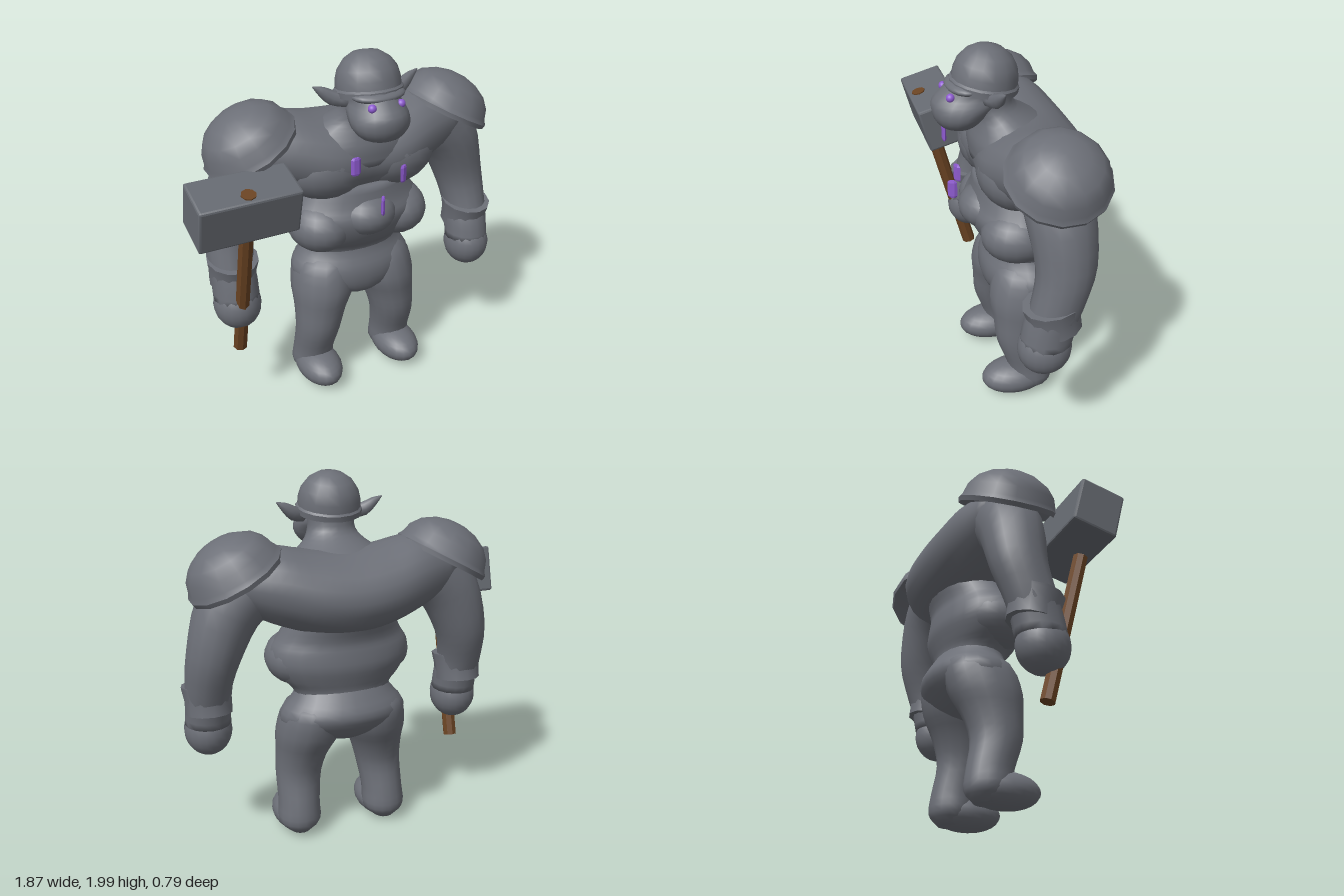
import * as THREE from 'three';
import { toCreasedNormals } from 'three/addons/utils/BufferGeometryUtils.js';
import { RoundedBoxGeometry } from 'three/addons/geometries/RoundedBoxGeometry.js';

const flat = (name, color) => {
  const m = new THREE.MeshStandardMaterial({ color });
  m.name = name;
  return m;
};

// Smooth loft through elliptical rings [x, y, z, a, b, tilt]:
// a runs along the tilted xy direction, b along z. side = -1 mirrors in x.
function loft(rings, side = 1, seg = 16, steps = 3) {
  const curve = (i) => new THREE.CatmullRomCurve3(
    rings.map((r) => new THREE.Vector3(r[i], r[i + 1], r[i + 2] || 0)), false, 'catmullrom', 0.5);
  const centre = curve(0), size = curve(3);
  const n = (rings.length - 1) * steps;
  const pos = [], idx = [];
  for (let i = 0; i <= n; i++) {
    const c = centre.getPoint(i / n), s = size.getPoint(i / n);
    for (let j = 0; j < seg; j++) {
      const t = (j / seg) * Math.PI * 2, u = Math.cos(t) * s.x;
      pos.push(side * (c.x + u * Math.cos(s.z)), c.y + u * Math.sin(s.z), c.z + Math.sin(t) * s.y);
    }
  }
  for (let i = 0; i < n; i++) {
    for (let j = 0; j < seg; j++) {
      const k = (j + 1) % seg, a = i * seg + j, b = i * seg + k;
      idx.push(a, b, a + seg, b, b + seg, a + seg);
    }
  }
  for (let j = 1; j < seg - 1; j++) {
    idx.push(0, j + 1, j, n * seg, n * seg + j, n * seg + j + 1);
  }
  // Turn the faces outward if the enclosed volume is negative
  const p = (i) => new THREE.Vector3().fromArray(pos, i * 3);
  let volume = 0;
  for (let i = 0; i < idx.length; i += 3) volume += p(idx[i]).dot(p(idx[i + 1]).cross(p(idx[i + 2])));
  if (volume < 0) idx.reverse();
  const g = new THREE.BufferGeometry();
  g.setAttribute('position', new THREE.Float32BufferAttribute(pos, 3));
  g.setIndex(idx);
  g.computeVertexNormals();
  return g;
}

// Turned part with crisp edges, from a profile of [radius, height] points
const turned = (profile, seg, crease, start = 0) => toCreasedNormals(
  new THREE.LatheGeometry(profile.map((p) => new THREE.Vector2(...p)), seg, start), crease);

export function createModel() {
  const skin = flat('stone grey', 0x6c6f77);
  const steel = flat('hammer grey', 0x666a71);
  const wood = flat('wood brown', 0x6b4423);
  const purple = flat('crystal purple', 0x8e5bd0);

  const model = new THREE.Group();
  const body = new THREE.Group();
  body.name = 'body';
  body.position.x = 0.065;
  model.add(body);

  const add = (name, geometry, material = skin, position = [0, 0, 0], parent = body) => {
    const m = new THREE.Mesh(geometry, material);
    m.name = name;
    m.position.set(...position);
    parent.add(m);
    return m;
  };
  const blob = (name, position, radius, material = skin) => {
    const m = add(name, new THREE.SphereGeometry(1, 20, 14), material, position);
    m.scale.set(...radius);
    return m;
  };

  // Broad chest and back, lofted from shoulder to shoulder
  const half = [[0.2, 1.42, -0.083, 0.215, 0.293], [0.4, 1.47, -0.08, 0.2, 0.235], [0.6, 1.5, -0.07, 0.13, 0.15]];
  const up = Math.PI / 2;
  add('chest', loft([
    ...half.map(([x, ...r]) => [-x, ...r, up]).reverse(),
    [0, 1.4, -0.1, 0.215, 0.295, up],
    ...half.map((r) => [...r, up]),
  ], 1, 20, 4));

  // Waist, belly and hips
  add('belly', loft([
    [0, 0.8, -0.07, 0.25, 0.17], [0, 0.88, -0.06, 0.28, 0.175], [0, 0.94, -0.04, 0.34, 0.21],
    [0, 1.02, -0.03, 0.385, 0.24], [0, 1.1, -0.02, 0.385, 0.245], [0, 1.17, -0.03, 0.34, 0.23],
    [0, 1.28, -0.06, 0.28, 0.24],
  ], 1, 24));
  blob('bellyBulge', [0, 1.1, 0.1], [0.17, 0.125, 0.17]);
  add('hips', loft([
    [0, 0.93, -0.05, 0.24, 0.15], [0, 0.84, -0.075, 0.28, 0.19], [0, 0.75, -0.08, 0.35, 0.23],
    [0, 0.66, -0.055, 0.33, 0.205], [0, 0.59, -0.03, 0.17, 0.15], [0, 0.55, -0.02, 0.06, 0.06],
  ], 1, 24));

  // Thick neck rising out of the upper chest, and the head with a heavy muzzle
  add('neck', loft([
    [0, 1.4, -0.03, 0.4, 0.23], [0, 1.5, -0.02, 0.34, 0.225], [0, 1.58, -0.005, 0.26, 0.19],
    [0, 1.64, 0.04, 0.175, 0.14], [0, 1.7, 0.09, 0.13, 0.115], [0, 1.78, 0.11, 0.13, 0.12],
  ], 1, 20));
  add('head', loft([
    [0, 1.585, 0.265, 0.06, 0.05], [0, 1.605, 0.262, 0.108, 0.095], [0, 1.645, 0.255, 0.145, 0.13],
    [0, 1.69, 0.24, 0.157, 0.155], [0, 1.735, 0.205, 0.148, 0.185], [0, 1.78, 0.17, 0.13, 0.178],
    [0, 1.83, 0.13, 0.145, 0.168], [0, 1.88, 0.12, 0.135, 0.14], [0, 1.93, 0.12, 0.1, 0.1],
  ], 1, 20, 2));
  blob('brow', [0, 1.808, 0.225], [0.145, 0.035, 0.098]);

  // Domed helmet with a sloping brim
  const helmet = new THREE.Group();
  helmet.name = 'helmet';
  helmet.position.set(0, 1.81, 0.123);
  helmet.rotation.x = -0.17;
  body.add(helmet);
  add('helmetDome', turned([[0, -0.03], [0.176, -0.03], [0.178, 0], [0.168, 0.01], [0.166, 0.05], [0.152, 0.1],
    [0.12, 0.145], [0.07, 0.178], [0, 0.19]], 16, 0.7), skin, [0, 0, 0], helmet);

  for (const s of [1, -1]) {
    const label = s > 0 ? 'left' : 'right';
    blob(label + 'Pectoral', [s * 0.19, 1.385, 0.02], [0.25, 0.185, 0.195]);
    blob(label + 'BellyRoll', [s * 0.23, 1.035, 0.01], [0.175, 0.15, 0.2]);
    blob(label + 'Eye', [s * 0.08, 1.775, 0.315], [0.022, 0.022, 0.022], purple);

    // Pointed ear, swept up and out
    add(label + 'Ear', loft([
      [0.13, 1.765, 0.14, 0.035, 0.03, 1.9], [0.2, 1.785, 0.115, 0.038, 0.033, 1.9],
      [0.25, 1.82, 0.105, 0.026, 0.022, 2], [0.295, 1.85, 0.1, 0.003, 0.003, 2.1],
    ], s, 8, 2));

    // Arm, fist, cuff and shoulder guard
    add(label + 'Arm', loft([
      [0.48, 1.5, -0.07, 0.18, 0.17, 1.05], [0.62, 1.35, -0.075, 0.17, 0.17, 0.5],
      [0.705, 1.12, -0.08, 0.14, 0.15, 0.2], [0.732, 0.94, -0.035, 0.122, 0.138, 0.1],
      [0.73, 0.83, 0, 0.122, 0.135, 0], [0.73, 0.72, 0.022, 0.123, 0.133, 0],
    ], s));
    blob(label + 'Fist', [s * 0.73, 0.68, 0.028], [0.128, 0.143, 0.138]);
    const bracer = add(label + 'Cuff', turned([[0.09, -0.08], [0.125, -0.08], [0.126, 0], [0.136, 0.055],
      [0.138, 0.07], [0.1, 0.07]], 12, 0.6), skin, [s * 0.73, 0.875, -0.014]);
    bracer.scale.z = 1.08;
    bracer.rotation.x = 0.15;
    const guard = add(label + 'ShoulderGuard', turned([[0, 0], [0.24, -0.01], [0.262, -0.025], [0.267, 0],
      [0.25, 0.025], [0.232, 0.08], [0.19, 0.13], [0.12, 0.17], [0.05, 0.188], [0, 0.19]], 14, 0.6),
    skin, [s * 0.575, 1.54, -0.075]);
    guard.rotation.z = -s * 0.497;

    // Leg and foot
    add(label + 'Leg', loft([
      [0.14, 0.86, -0.07, 0.05, 0.06], [0.17, 0.78, -0.075, 0.155, 0.185], [0.19, 0.63, -0.045, 0.178, 0.2],
      [0.218, 0.5, -0.018, 0.148, 0.163], [0.24, 0.36, -0.005, 0.127, 0.137], [0.252, 0.2, -0.045, 0.116, 0.123],
      [0.255, 0.09, -0.06, 0.118, 0.118], [0.255, 0.025, -0.06, 0.06, 0.07],
    ], s));
    blob(label + 'Foot', [s * 0.255, 0.1, 0.025], [0.125, 0.097, 0.198]);
  }

  // Flat crystals hovering before the chest: x, y, turn, width, height
  for (const [x, y, turn, w, h] of [
    [-0.095, 1.478, 0, 0.056, 0.096], [0.18, 1.38, 0.5, 0.052, 0.092], [0.065, 1.22, 1.1, 0.052, 0.1],
  ]) {
    const crystal = add('crystal', turned([[0, -0.5], [0.35, -0.5], [0.5, -0.39], [0.5, 0.39], [0.35, 0.5],
      [0, 0.5]], 6, 0.3, Math.PI / 2), purple, [x, y, 0.302], model);
    crystal.scale.set(w, h, 0.022);
    crystal.rotation.y = turn;
  }

  // War hammer leaning forward in the right fist
  const hammer = new THREE.Group();
  hammer.name = 'hammer';
  hammer.position.set(-0.67, 1.355, 0.227);
  hammer.rotation.x = 0.255;
  model.add(hammer);
  add('hammerHead', toCreasedNormals(new RoundedBoxGeometry(0.526, 0.256, 0.24, 1, 0.012), 0.3), steel, [0, 0, 0], hammer);
  add('hammerHandle', toCreasedNormals(new THREE.CylinderGeometry(0.039, 0.039, 1.105, 8), 0.5), wood,
    [0, -0.418, 0.06], hammer);

  return model;
}
